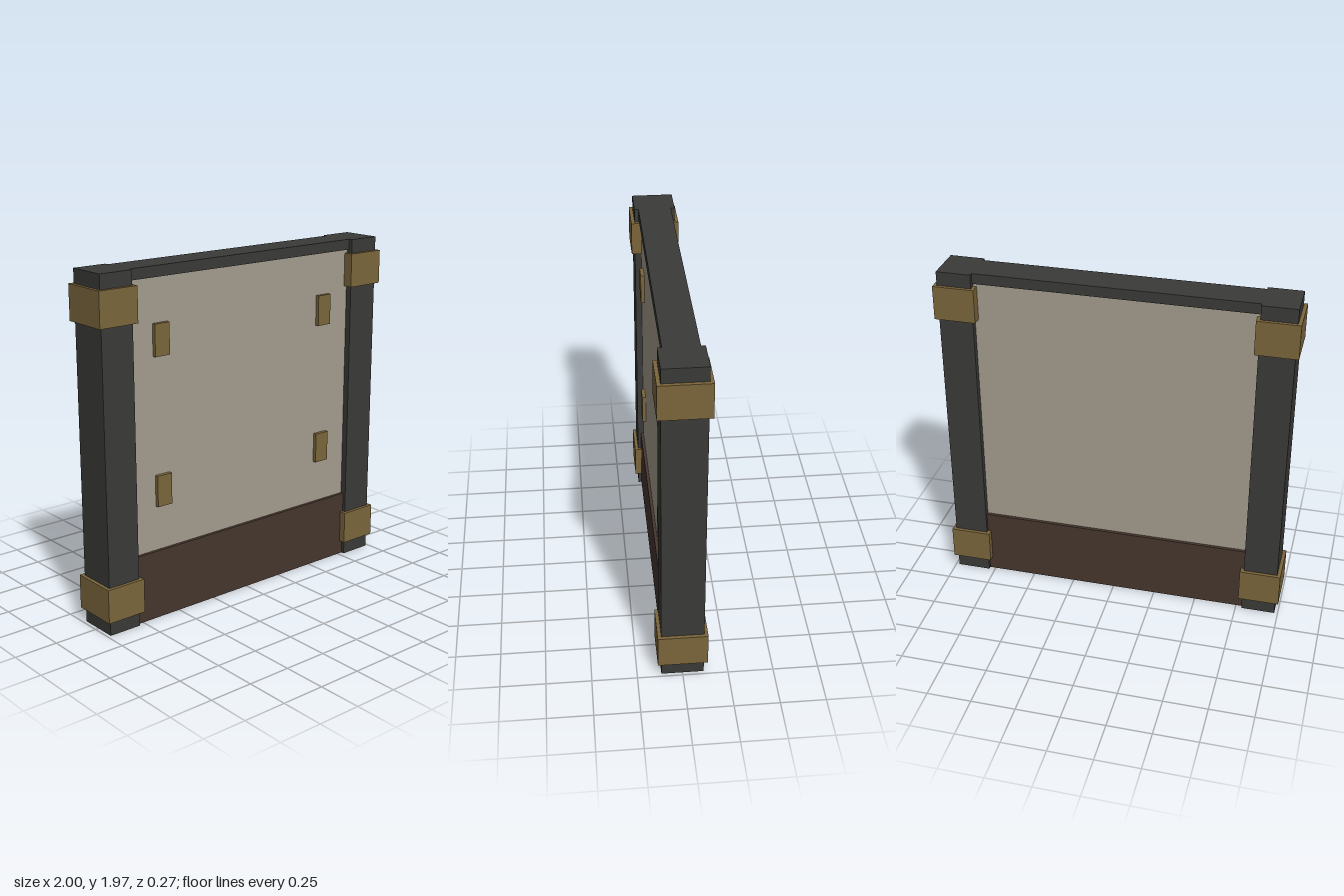
import * as THREE from 'three';

const mat = (color) => new THREE.MeshStandardMaterial({ color });

export function createModel() {
  const model = new THREE.Group();
  const iron = mat(0x3a3a38);
  const plaster = mat(0xa59c8e);
  const wood = mat(0x46362e);
  const brass = mat(0x7b663b);

  // Box given by its extents in x and y, and its extents in z
  function box(name, material, [x0, x1], [y0, y1], [z0, z1]) {
    const mesh = new THREE.Mesh(new THREE.BoxGeometry(x1 - x0, y1 - y0, z1 - z0), material);
    mesh.position.set((x0 + x1) / 2, (y0 + y1) / 2, (z0 + z1) / 2);
    mesh.name = name;
    model.add(mesh);
  }

  // Wall between the posts
  box('wallPanel', plaster, [-0.785, 0.785], [0.395, 1.905], [-0.08, 0.08]);
  box('baseBoard', wood, [-0.785, 0.785], [0, 0.395], [-0.098, 0.098]);
  box('topRail', iron, [-0.785, 0.785], [1.905, 1.965], [-0.094, 0.094]);

  for (const side of [-1, 1]) {
    const label = side > 0 ? 'left' : 'right';
    const span = (a, b) => (side > 0 ? [a, b] : [-b, -a]);

    // Corner post with a band near each end
    box(label + 'Post', iron, span(0.785, 0.98), [0, 1.965], [-0.117, 0.117]);
    box(label + 'LowerBand', brass, span(0.765, 1), [0.083, 0.277], [-0.137, 0.137]);
    box(label + 'UpperBand', brass, span(0.765, 1), [1.69, 1.885], [-0.137, 0.137]);

    // Small plates on the front of the panel only
    box(label + 'LowerPlate', brass, span(0.54, 0.635), [0.65, 0.827], [0.07, 0.102]);
    box(label + 'UpperPlate', brass, span(0.54, 0.635), [1.485, 1.662], [0.07, 0.102]);
  }
  return model;
}
